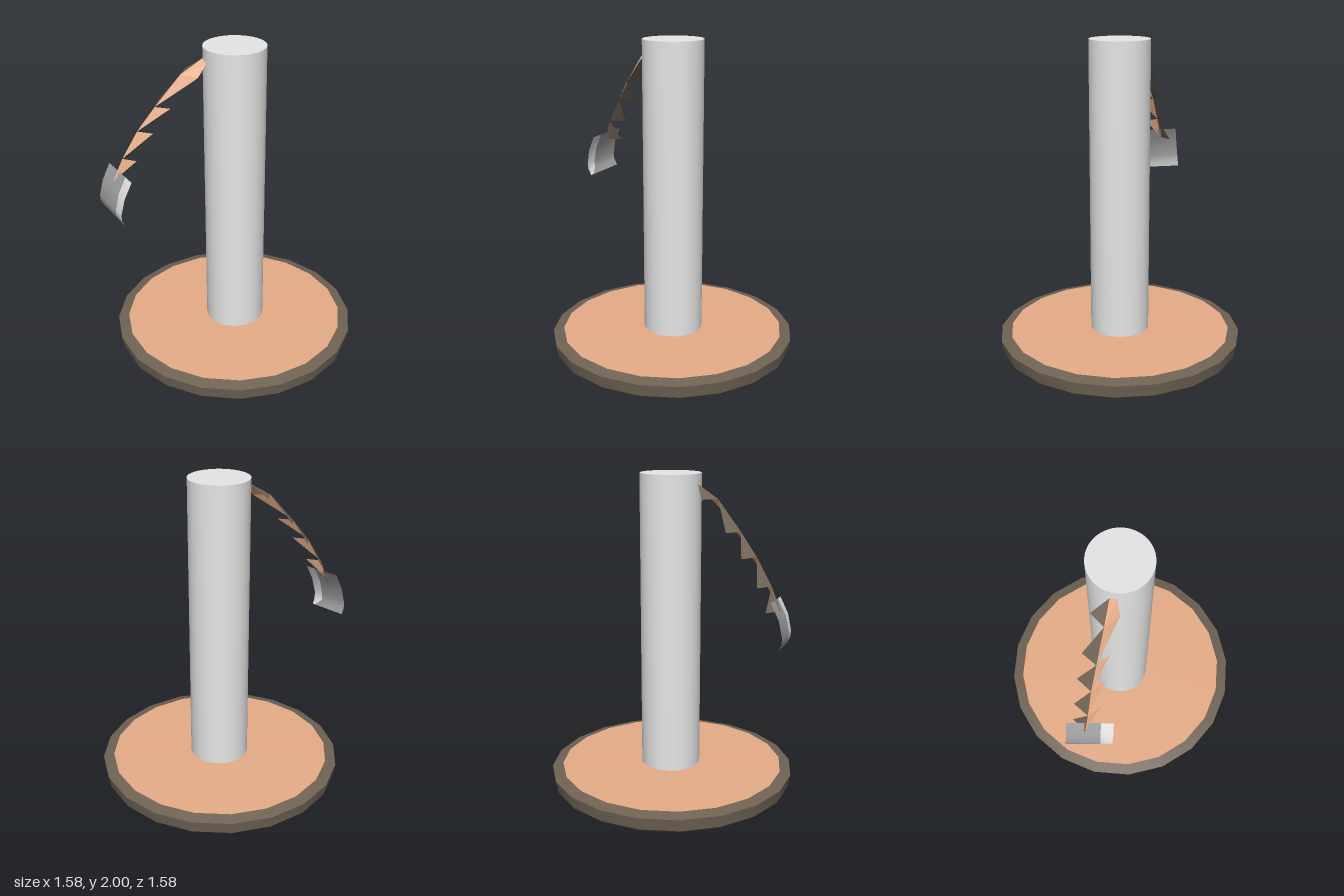
import * as THREE from 'three';
import { toCreasedNormals } from 'three/addons/utils/BufferGeometryUtils.js';

const mat = (name, color) => {
  const m = new THREE.MeshStandardMaterial({ color, side: THREE.DoubleSide });
  m.name = name;
  return m;
};

// Revolve a profile of [radius, height] points, keeping profile edges sharp
function turned(profile, sides) {
  const points = profile.map(([r, y]) => new THREE.Vector2(r, y));
  return toCreasedNormals(new THREE.LatheGeometry(points, sides), 0.5);
}

// Flat faces; each face is a fan of corner points
function faces(list) {
  const pos = [];
  for (const f of list)
    for (let i = 1; i < f.length - 1; i++) pos.push(...f[0], ...f[i], ...f[i + 1]);
  const g = new THREE.BufferGeometry();
  g.setAttribute('position', new THREE.Float32BufferAttribute(pos, 3));
  g.computeVertexNormals();
  return g;
}

export function createModel() {
  const model = new THREE.Group();
  const white = mat('paleGrey', 0xe6e6e6);
  const tan = mat('tan', 0xebb08a);
  const brown = mat('darkBrown', 0x706355);
  const grey = mat('midGrey', 0xa0a0a0);

  const add = (name, geometry, material, parent = model) => {
    const mesh = new THREE.Mesh(geometry, material);
    mesh.name = name;
    parent.add(mesh);
    return mesh;
  };

  // Hollow round base: rim and shallow top
  add('baseRim', turned([
    [0.73, 0], [0.765, 0], [0.777, 0.012], [0.79, 0.09], [0.72, 0.108], [0.725, 0.03], [0.73, 0],
  ], 20), brown);
  add('baseTop', turned([[0.72, 0.108], [0, 0.12]], 20), tan);

  // Post, open underneath
  const post = add('post', turned([[0.19, 0.045], [0.19, 2], [0, 2]], 40), white);
  post.position.z = -0.007;

  // Hanging serrated strip: a ridge with teeth folded back on both sides
  const ridge = [[-0.07, 1.94, 0.18], [-0.11, 1.86, 0.31], [-0.165, 1.68, 0.46],
    [-0.205, 1.54, 0.565], [-0.235, 1.38, 0.66], [-0.26, 1.24, 0.72]];
  const leftTips = [[-0.03, 1.92, 0.18], [-0.02, 1.85, 0.25], [-0.085, 1.68, 0.405],
    [-0.12, 1.54, 0.51], [-0.155, 1.38, 0.61], [-0.19, 1.24, 0.65]];
  const rightTips = [[-0.1, 1.93, 0.17], [-0.18, 1.86, 0.225], [-0.24, 1.68, 0.385],
    [-0.28, 1.54, 0.485], [-0.31, 1.38, 0.585], [-0.325, 1.24, 0.64]];
  const rightFaces = [], leftFaces = [];
  for (let i = 0; i < ridge.length - 1; i++) {
    rightFaces.push([ridge[i], rightTips[i + 1], ridge[i + 1]]);
    leftFaces.push([ridge[i], ridge[i + 1], leftTips[i]]);
  }
  leftFaces.push([leftTips[0], ridge[1], leftTips[1]]);
  const strip = new THREE.Group();
  strip.name = 'hangingStrip';
  model.add(strip);
  add('stripRightTeeth', faces(rightFaces), brown, strip);
  add('stripLeftTeeth', faces(leftFaces), tan, strip);

  // Curved blade at the strip's end, with a pale bevelled edge
  // rows: right-edge x, y, z and the bevel's starting fraction across the width
  const rows = [[-0.365, 1.31, 0.675, 0.73], [-0.373, 1.21, 0.725, 0.73],
    [-0.382, 1.11, 0.748, 0.745], [-0.386, 1.07, 0.745, 0.75], [-0.39, 1.03, 0.725, 0.92]];
  const at = ([x, y, z], t) => [x + 0.275 * t, y - 0.02 * t, z + 0.02 * t];
  const panel = (from, to) => {
    const out = [];
    for (let i = 0; i < rows.length - 1; i++) {
      const a = rows[i], b = rows[i + 1];
      out.push([at(a, from(a)), at(b, from(b)), at(b, to(b)), at(a, to(a))]);
    }
    return toCreasedNormals(faces(out), 0.7);
  };
  const blade = new THREE.Group();
  blade.name = 'blade';
  model.add(blade);
  add('bladeBody', panel(() => 0, (r) => r[3]), grey, blade);
  add('bladeEdge', panel((r) => r[3], () => 1), white, blade);

  return model;
}
